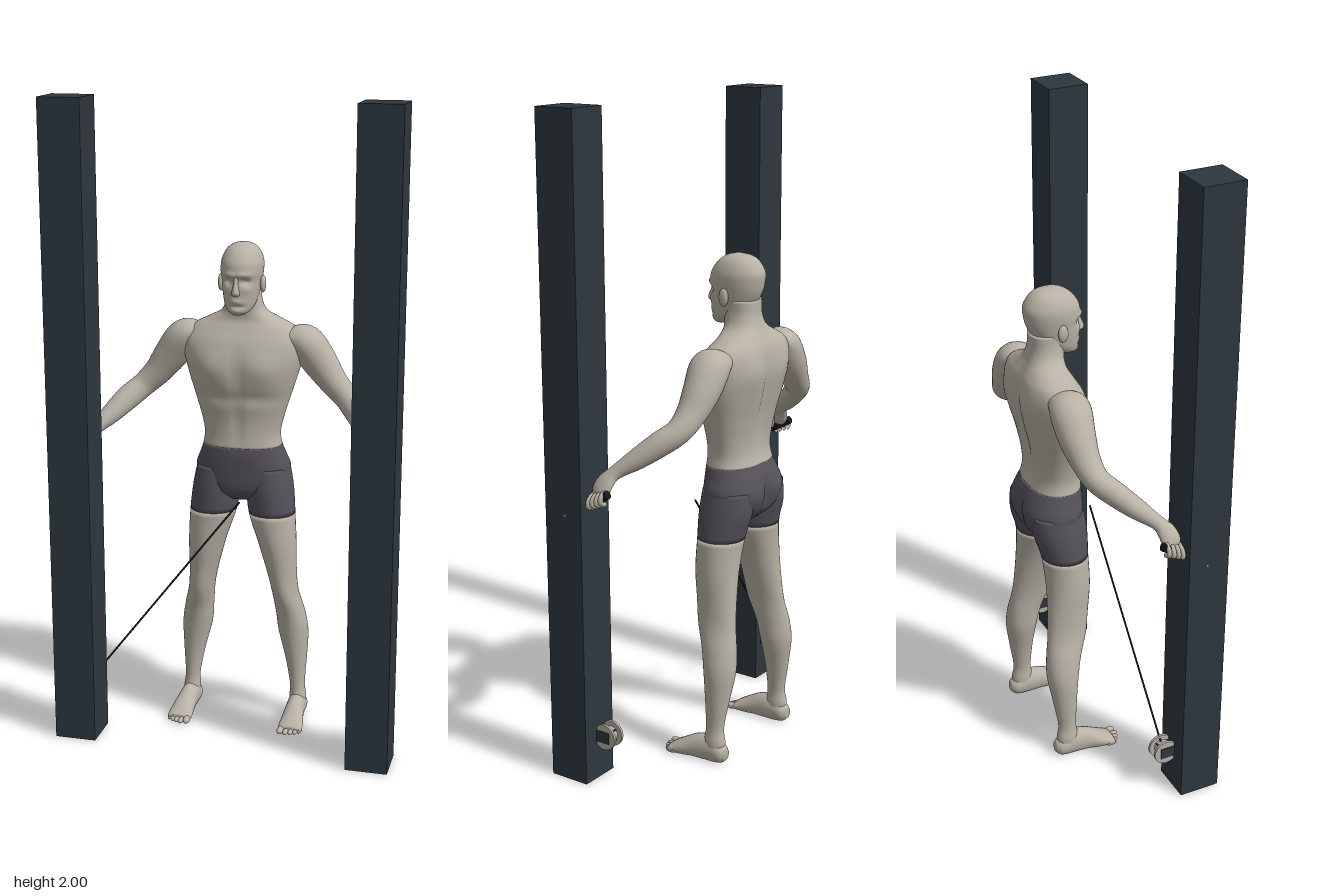
import * as THREE from 'three';

const mat = (name, color) => Object.assign(new THREE.MeshStandardMaterial({ color }), { name });
const V = (x, y, z) => new THREE.Vector3(x, y, z);

// Closed loft through keys [x, y, z, ru, rv], drawn between key indices a and b.
// A fixed axis keeps the rings parallel; otherwise they follow the path.
function loft(keys, { a = 0, b = keys.length - 1, ref = V(1, 0, 0), axis, n = 2, seg = 32, steps = 6, sculpt } = {}) {
  const path = new THREE.CatmullRomCurve3(keys.map(k => V(k[0], k[1], k[2])), false, 'catmullrom');
  const radii = new THREE.CatmullRomCurve3(keys.map(k => V(k[3], k[4], 0)), false, 'catmullrom');
  const pos = [], idx = [], rings = (b - a) * steps;
  const pow = c => Math.sign(c) * Math.abs(c) ** (2 / n);
  for (let i = 0; i <= rings; i++) {
    const t = (a + i / steps) / (keys.length - 1);
    const c = path.getPoint(t), r = radii.getPoint(t), T = axis || path.getTangent(t);
    const u = ref.clone().addScaledVector(T, -ref.dot(T)).normalize();
    const v = T.clone().cross(u);
    for (let j = 0; j < seg; j++) {
      const w = j / seg * Math.PI * 2;
      const p = c.clone().addScaledVector(u, pow(Math.cos(w)) * r.x).addScaledVector(v, pow(Math.sin(w)) * r.y);
      if (sculpt) sculpt(p, c);
      pos.push(p.x, p.y, p.z);
      if (i === rings) continue;
      const j2 = (j + 1) % seg, A = i * seg + j, B = i * seg + j2;
      idx.push(A, B, A + seg, B, B + seg, A + seg);
    }
  }
  // End caps
  for (const [ring, first] of [[0, true], [rings, false]]) {
    const c = path.getPoint((a + ring / steps) / (keys.length - 1)), m = pos.length / 3;
    pos.push(c.x, Math.max(c.y, 0), c.z);
    for (let j = 0; j < seg; j++) {
      const A = ring * seg + j, B = ring * seg + (j + 1) % seg;
      first ? idx.push(m, B, A) : idx.push(m, A, B);
    }
  }
  const g = new THREE.BufferGeometry();
  g.setAttribute('position', new THREE.Float32BufferAttribute(pos, 3));
  g.setIndex(idx);
  g.computeVertexNormals();
  return g;
}

// Keys for horizontal rings: [y, x centre, half width, front z, back z]
const level = (rows, s = 1) => rows.map(([y, x, rx, f, k]) => [x * s, y, (f + k) / 2, rx, (f - k) / 2]);
// Mirrored bell-shaped weight around (x, y)
const bell = (p, x, y, rx, ry) => Math.exp(-(((Math.abs(p.x) - x) / rx) ** 2) - ((p.y - y) / ry) ** 2);

function sculptTorso(p, c) {
  if (p.z > c.z) {
    p.z += 0.010 * bell(p, 0.08, 1.17, 0.05, 0.045) - 0.007 * bell(p, 0, 1.17, 0.014, 0.08)
      - 0.006 * bell(p, 0, 1.0, 0.012, 0.07) - 0.006 * bell(p, 0.06, 1.08, 0.07, 0.02);
  } else {
    p.z += 0.014 * bell(p, 0, 1.13, 0.02, 0.15) - 0.008 * bell(p, 0.08, 1.22, 0.045, 0.06)
      + 0.018 * bell(p, 0, 0.82, 0.014, 0.05) - 0.008 * bell(p, 0.07, 0.83, 0.05, 0.05);
  }
}

function sculptHead(p, c) {
  if (p.z < c.z) return;
  p.z += 0.006 * bell(p, 0.022, 1.466, 0.025, 0.009) - 0.013 * bell(p, 0.026, 1.445, 0.014, 0.011)
    + 0.004 * bell(p, 0.036, 1.42, 0.014, 0.014) - 0.005 * bell(p, 0, 1.369, 0.025, 0.006)
    + 0.005 * bell(p, 0, 1.384, 0.018, 0.008) + 0.004 * bell(p, 0, 1.354, 0.016, 0.008);
}

export function createModel() {
  const root = new THREE.Group();
  const skin = mat('skin', 0xb8b2a6), cloth = mat('shorts cloth', 0x55515a);
  const steel = mat('dark steel', 0x2e373e), black = mat('black rubber', 0x17191c), wheelMat = mat('pulley grey', 0xb4afa2);
  const add = (name, geo, m, x = 0, y = 0, z = 0, parent = root) => {
    const o = new THREE.Mesh(geo, m);
    o.name = name;
    o.position.set(x, y, z);
    parent.add(o);
    return o;
  };
  const ball = (name, x, y, z, rx, ry, rz) => add(name, new THREE.SphereGeometry(1, 16, 12), skin, x, y, z).scale.set(rx, ry, rz);
  const rod = (name, from, to, r, m) => {
    const d = to.clone().sub(from), o = add(name, new THREE.CylinderGeometry(r, r, d.length(), 12), m);
    o.position.copy(from).addScaledVector(d, 0.5);
    o.quaternion.setFromUnitVectors(V(0, 1, 0), d.normalize());
  };
  const up = V(0, 1, 0), down = V(0, -1, 0);

  // Torso and the seat of the shorts share one profile
  const trunk = level([
    [0.745, 0, 0.05, -0.06, -0.16], [0.78, 0, 0.12, -0.03, -0.195], [0.84, 0, 0.15, -0.024, -0.208],
    [0.89, 0, 0.135, -0.022, -0.198], [0.92, 0, 0.125, -0.024, -0.185], [0.96, 0, 0.12, -0.028, -0.176],
    [1.01, 0, 0.13, -0.028, -0.177], [1.07, 0, 0.148, -0.02, -0.187], [1.14, 0, 0.17, -0.012, -0.203],
    [1.20, 0, 0.186, -0.014, -0.212], [1.25, 0, 0.19, -0.03, -0.21], [1.288, 0, 0.165, -0.052, -0.203],
    [1.315, 0, 0.115, -0.066, -0.19], [1.34, 0, 0.071, -0.066, -0.178], [1.375, 0, 0.056, -0.062, -0.168],
    [1.42, 0, 0.053, -0.065, -0.166],
  ]);
  const body = { axis: up, n: 2.3, seg: 64, sculpt: sculptTorso };
  add('shortsSeat', loft(trunk, { ...body, b: 4 }), cloth);
  add('torso', loft(trunk, { ...body, a: 4 }), skin);

  // Head
  add('head', loft(level([
    [1.342, 0, 0.018, -0.022, -0.06], [1.352, 0, 0.034, -0.015, -0.085], [1.37, 0, 0.046, -0.012, -0.12],
    [1.40, 0, 0.054, -0.010, -0.15], [1.44, 0, 0.060, -0.010, -0.172], [1.47, 0, 0.064, -0.008, -0.18],
    [1.50, 0, 0.063, -0.013, -0.182], [1.53, 0, 0.051, -0.035, -0.165], [1.547, 0, 0.032, -0.06, -0.142],
    [1.555, 0, 0.006, -0.09, -0.108],
  ]), { axis: up, n: 2.1, seg: 64, steps: 8, sculpt: sculptHead }), skin);
  add('nose', loft([[0, 1.462, -0.012, 0.006, 0.005], [0, 1.44, -0.009, 0.007, 0.009], [0, 1.418, -0.005, 0.011, 0.014],
    [0, 1.408, -0.006, 0.013, 0.013], [0, 1.402, -0.01, 0.007, 0.007]], { axis: down, seg: 16 }), skin);

  for (const s of [1, -1]) {
    const side = s > 0 ? 'left' : 'right';
    ball(side + 'Ear', s * 0.066, 1.43, -0.088, 0.009, 0.027, 0.016);

    // Arm, slightly bent and reaching forward
    add(side + 'Arm', loft([
      [0.14, 1.265, -0.125, 0.03, 0.05], [0.19, 1.248, -0.126, 0.054, 0.062], [0.235, 1.19, -0.128, 0.054, 0.056],
      [0.28, 1.13, -0.122, 0.044, 0.045], [0.325, 1.085, -0.108, 0.038, 0.038], [0.365, 1.05, -0.07, 0.038, 0.036],
      [0.405, 1.008, -0.02, 0.031, 0.031], [0.442, 0.97, 0.028, 0.02, 0.022], [0.462, 0.945, 0.048, 0.018, 0.029],
      [0.476, 0.918, 0.058, 0.017, 0.031], [0.482, 0.902, 0.062, 0.01, 0.022],
    ].map(k => [k[0] * s, ...k.slice(1)]), { ref: V(0.7 * s, 0.7, 0) }), skin);

    // Fingers curled round the grip, with the thumb on the inner side
    for (let i = 0; i < 4; i++) {
      const z = 0.036 + i * 0.015, y = 0.922 - i * 0.006;
      add(side + 'Finger', new THREE.TubeGeometry(new THREE.CatmullRomCurve3([
        V(s * 0.478, y, z), V(s * 0.502, y - 0.012, z), V(s * 0.506, y - 0.03, z), V(s * 0.486, y - 0.04, z),
      ]), 10, 0.0078, 8), skin);
    }
    rod(side + 'Thumb', V(s * 0.452, 0.945, 0.06), V(s * 0.462, 0.895, 0.076), 0.009, skin);
    ball(side + 'ThumbTip', s * 0.462, 0.895, 0.076, 0.009, 0.009, 0.009);
    rod(side + 'Grip', V(s * 0.49, 0.915, 0.022), V(s * 0.49, 0.878, 0.09), 0.013, black);

    // Leg: the thigh of the shorts and the bare leg share one profile
    const leg = level([
      [0.85, 0.08, 0.068, -0.035, -0.2], [0.78, 0.087, 0.074, -0.028, -0.197], [0.70, 0.095, 0.074, -0.029, -0.175],
      [0.60, 0.114, 0.06, -0.03, -0.17], [0.50, 0.128, 0.046, -0.042, -0.174], [0.43, 0.138, 0.041, -0.052, -0.18],
      [0.36, 0.151, 0.046, -0.076, -0.19], [0.29, 0.16, 0.048, -0.09, -0.192], [0.20, 0.17, 0.035, -0.1, -0.178],
      [0.11, 0.176, 0.024, -0.105, -0.164], [0.065, 0.178, 0.027, -0.1, -0.17], [0.03, 0.178, 0.026, -0.1, -0.168],
    ], s);
    add(side + 'ShortsLeg', loft(leg, { axis: down, b: 2 }), cloth);
    add(side + 'Leg', loft(leg, { axis: down, a: 2 }), skin);

    // Foot with a flat sole, and toes
    add(side + 'Foot', loft([
      [0.178, 0.03, -0.178, 0.014, 0.018], [0.178, 0.03, -0.16, 0.027, 0.032], [0.178, 0.036, -0.12, 0.029, 0.044],
      [0.18, 0.032, -0.07, 0.031, 0.04], [0.182, 0.022, -0.03, 0.036, 0.03], [0.183, 0.013, 0.008, 0.039, 0.017],
      [0.183, 0.011, 0.02, 0.034, 0.01],
    ].map(k => [k[0] * s, ...k.slice(1)]), { axis: V(0, 0, 1), sculpt: p => { p.y = Math.max(p.y, 0); } }), skin);
    [[0.155, 0.011, 0.026], [0.173, 0.0085, 0.027], [0.188, 0.008, 0.022], [0.202, 0.0075, 0.015], [0.214, 0.007, 0.006]]
      .forEach(([x, r, z]) => ball(side + 'Toe', s * x, r, z, r, r, 0.02));

    // Post with a small peg, and its low pulley
    add(side + 'Post', new THREE.BoxGeometry(0.13, 2, 0.13), steel, s * 0.465, 1, 0.155);
    rod(side + 'Peg', V(s * 0.52, 0.84, 0.148), V(s * 0.534, 0.84, 0.148), 0.004, wheelMat);
    const pulley = new THREE.Group();
    pulley.name = side + 'Pulley';
    pulley.position.set(s * 0.454, 0.14, 0.064);
    root.add(pulley);
    for (const [x, r, w] of [[-0.018, 0.04, 0.008], [0.018, 0.04, 0.008], [0, 0.024, 0.034]])
      add('pulleyWheel', new THREE.CylinderGeometry(r, r, w, 28).rotateZ(Math.PI / 2), wheelMat, x, 0, 0, pulley);
    add('pulleyBracket', new THREE.BoxGeometry(0.05, 0.036, 0.047), steel, 0, 0, 0.004, pulley);
  }

  // Cable running up from the right pulley
  rod('cable', V(-0.454, 0.15, 0.06), V(0.025, 0.77, 0.044), 0.003, black);
  return root;
}
